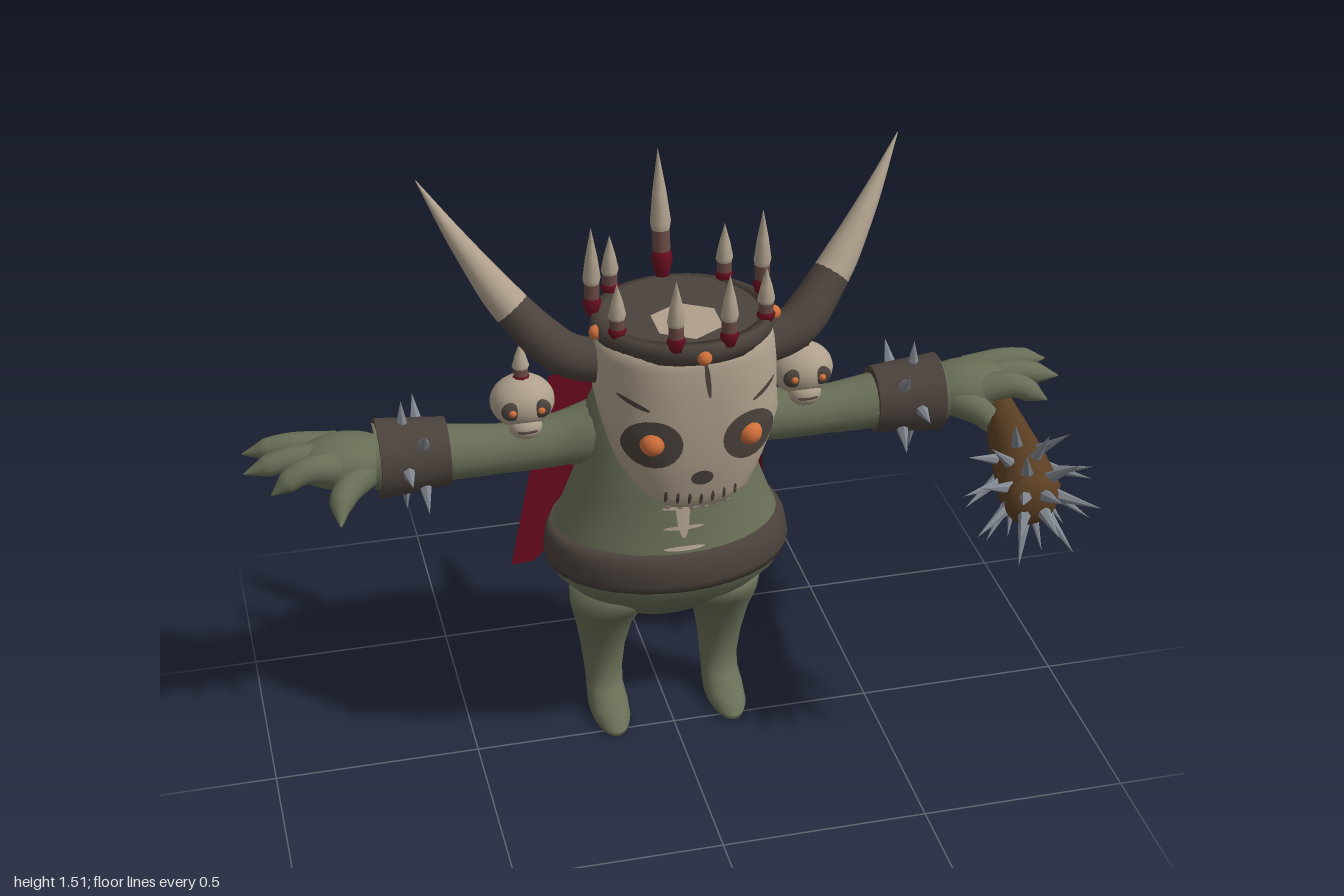
import * as THREE from 'three';
import { mergeVertices } from 'three/addons/utils/BufferGeometryUtils.js';

const mat = (name, color, side = THREE.FrontSide) => {
  const m = new THREE.MeshStandardMaterial({ color, side });
  m.name = name;
  return m;
};
const V = (x, y, z) => new THREE.Vector3(x, y, z);

// Cross-section rows, bottom to top: [y, centre x, centre z, half width, half depth]
const row = (y, zFront, zBack, rx, x = 0) => [y, x, (zFront + zBack) / 2, rx, (zFront - zBack) / 2];
const BODY = [
  row(0.31, -0.03, -0.17, 0.12), row(0.345, 0.0, -0.2, 0.19), row(0.4, 0.07, -0.25, 0.236),
  row(0.45, 0.115, -0.285, 0.28), row(0.5, 0.128, -0.3, 0.295), row(0.55, 0.122, -0.303, 0.287),
  row(0.6, 0.1, -0.29, 0.262), row(0.7, 0.08, -0.262, 0.225), row(0.8, 0.06, -0.243, 0.203),
  row(0.88, 0.03, -0.235, 0.19), row(0.95, 0.0, -0.215, 0.155), row(1.0, -0.01, -0.175, 0.125), row(1.04, -0.02, -0.12, 0.09),
];
const HEAD = [
  row(0.795, 0.25, 0.17, 0.08), row(0.83, 0.262, 0.13, 0.13), row(0.885, 0.27, 0.01, 0.17),
  row(0.93, 0.277, 0.0, 0.186), row(1.0, 0.28, -0.01, 0.205), row(1.035, 0.281, -0.085, 0.208),
  row(1.1, 0.281, -0.124, 0.21), row(1.16, 0.277, -0.118, 0.204), row(1.2, 0.268, -0.1, 0.19),
];
const LEG = [
  row(0, 0.03, -0.19, 0.045, 0.15), row(0.015, 0.033, -0.192, 0.049, 0.15), row(0.035, -0.01, -0.194, 0.049, 0.15),
  row(0.06, -0.075, -0.194, 0.046, 0.15), row(0.1, -0.097, -0.194, 0.048, 0.15), row(0.17, -0.09, -0.192, 0.056, 0.151),
  row(0.25, -0.062, -0.192, 0.07, 0.15), row(0.32, -0.02, -0.2, 0.094, 0.143), row(0.4, 0.04, -0.23, 0.112, 0.128),
];
const HEAD_N = 2.5;

function rowAt(rows, y) {
  let i = 0;
  while (i < rows.length - 2 && rows[i + 1][0] < y) i++;
  const t = THREE.MathUtils.clamp((y - rows[i][0]) / (rows[i + 1][0] - rows[i][0]), 0, 1);
  return rows[i].map((v, k) => v + (rows[i + 1][k] - v) * t);
}
const frontZ = (rows, x, y, n) => {
  const r = rowAt(rows, y);
  return r[2] + r[4] * Math.pow(1 - Math.min(1, Math.abs((x - r[1]) / r[3])) ** n, 1 / n);
};

// Capped loft through superellipse sections
function loft(rows, n = 2, s = 1, sides = 32) {
  const pos = [], idx = [], p = (v) => Math.sign(v) * Math.abs(v) ** (2 / n);
  rows.forEach(([y, x, z, rx, rz], j) => {
    for (let i = 0; i < sides; i++) {
      const a = (i / sides) * Math.PI * 2, k = (i + 1) % sides;
      pos.push(s * x + rx * p(Math.cos(a)), y, z + rz * p(Math.sin(a)));
      if (j < rows.length - 1) {
        const A = j * sides + i, B = j * sides + k;
        idx.push(A, A + sides, B, B, A + sides, B + sides);
      }
    }
  });
  const c = pos.length / 3, top = (rows.length - 1) * sides;
  for (const r of [rows[0], rows[rows.length - 1]]) pos.push(s * r[1], r[0], r[2]);
  for (let i = 0; i < sides; i++) {
    const k = (i + 1) % sides;
    idx.push(c, i, k, c + 1, top + k, top + i);
  }
  const g = new THREE.BufferGeometry();
  g.setAttribute('position', new THREE.Float32BufferAttribute(pos, 3));
  g.setIndex(idx);
  g.computeVertexNormals();
  return g;
}

// Tube along a curve whose radius follows the list of radii; from/to keep only a stretch
function taper(points, radii, from = 0, to = 1, seg = 20, sides = 14) {
  const full = new THREE.CatmullRomCurve3(points);
  const part = new THREE.CatmullRomCurve3(
    Array.from({ length: seg + 1 }, (_, i) => full.getPointAt(from + (to - from) * (i / seg))));
  let g = new THREE.TubeGeometry(part, seg, 1, sides);
  const pos = g.attributes.position, v = V(0, 0, 0);
  for (let i = 0; i <= seg; i++) {
    const c = part.getPointAt(i / seg), f = (from + (to - from) * (i / seg)) * (radii.length - 1);
    const k = Math.min(Math.floor(f), radii.length - 2);
    const r = THREE.MathUtils.lerp(radii[k], radii[k + 1], f - k);
    for (let j = 0; j <= sides; j++) {
      const q = i * (sides + 1) + j;
      v.fromBufferAttribute(pos, q).sub(c).multiplyScalar(r).add(c);
      pos.setXYZ(q, v.x, v.y, v.z);
    }
  }
  g.deleteAttribute('uv');
  g.deleteAttribute('normal');
  g = mergeVertices(g, 1e-5);
  g.computeVertexNormals();
  return g;
}

// Thin oval plate that follows the front of a lofted part
function patch(rows, n, cx, cy, rx, ry, turn = 0, off = 0.005) {
  const g = new THREE.RingGeometry(0.001, 1, 24, 4);
  g.scale(rx, ry, 1).rotateZ(turn).translate(cx, cy, 0);
  const p = g.attributes.position;
  for (let i = 0; i < p.count; i++) p.setZ(i, frontZ(rows, p.getX(i), p.getY(i), n) + off);
  g.computeVertexNormals();
  return g;
}

export function createModel() {
  const M = {
    skin: mat('green skin', 0x686e56), bone: mat('bone', 0xafa08c), leather: mat('dark leather', 0x4b423c),
    cape: mat('crimson cloth', 0x760c22, THREE.DoubleSide), wood: mat('wood', 0x5b3f23), steel: mat('steel', 0x80868f),
    orange: mat('orange', 0xcf6f3c), mauve: mat('bone root', 0x6a4a44), maroon: mat('maroon', 0x6c0f20),
  };
  const model = new THREE.Group();
  const add = (name, g, m, parent = model) => {
    const mesh = new THREE.Mesh(g, m);
    mesh.name = name;
    parent.add(mesh);
    return mesh;
  };
  const ball = (x, y, z, rx, ry = rx, rz = rx) => new THREE.SphereGeometry(1, 24, 16).scale(rx, ry, rz).translate(x, y, z);
  const spike = (name, base, dir, len, r) => {
    const g = new THREE.ConeGeometry(r, len, 6).translate(0, len / 2, 0).toNonIndexed();
    g.computeVertexNormals();
    const m = add(name, g, M.steel);
    m.position.copy(base);
    m.quaternion.setFromUnitVectors(V(0, 1, 0), dir.clone().normalize());
  };
  // Bone point with a maroon foot and a mauve root
  const bonePoint = (name, x, y, z, h, r, lean = 0) => {
    const grp = new THREE.Group();
    grp.name = name;
    const part = (n, pts, m) => add(n, new THREE.LatheGeometry(pts.map(([a, b]) => new THREE.Vector2(a * r, b * h)), 8), m, grp);
    part('pointFoot', [[0, 0], [0.6, 0.02], [1.05, 0.16], [0.85, 0.22]], M.maroon);
    part('pointRoot', [[0.85, 0.2], [0.85, 0.38]], M.mauve);
    part('pointTip', [[0.85, 0.38], [1, 0.44], [0.65, 0.68], [0, 1]], M.bone);
    grp.position.set(x, y, z);
    grp.rotation.x = lean;
    model.add(grp);
  };

  // Torso, belt and chest stitches
  add('torso', loft(BODY), M.skin);
  add('belt', loft([0.478, 0.5, 0.53, 0.55, 0.575].map((y) => {
    const r = rowAt(BODY, y);
    return [y, r[1], r[2], r[3] + 0.008, r[4] + 0.008];
  })), M.leather);
  add('chestSeam', patch(BODY, 2, 0, 0.7, 0.017, 0.085, 0, 0.008), M.bone);
  for (let i = 0; i < 4; i++) add('chestStitch', patch(BODY, 2, 0, 0.59 + i * 0.05, 0.05, 0.005, 0, 0.007), M.bone);

  // Skull
  add('skull', loft(HEAD, HEAD_N, 1, 48), M.bone);
  add('skullUnderside', ball(0, 0.99, -0.015, 0.185, 0.05, 0.09), M.leather);
  add('nose', patch(HEAD, HEAD_N, 0, 0.885, 0.026, 0.02), M.leather);
  add('foreheadCrack', patch(HEAD, HEAD_N, 0.01, 1.14, 0.006, 0.045, 0.1), M.leather);
  for (let i = -3; i <= 3; i++) {
    add('toothGap', patch(HEAD, HEAD_N, i * 0.027, 0.822 + Math.abs(i) * 0.004, 0.004, 0.017), M.leather);
    if (i < 3) add('tooth', ball((i + 0.5) * 0.027, 0.797, 0.24 - Math.abs(i + 0.5) * 0.008, 0.011, 0.018, 0.012), M.bone);
  }

  // Crown
  const ring = [[0.178, -0.022], [0.2, -0.026], [0.209, 0], [0.204, 0.022], [0.18, 0.022], [0.178, -0.022]];
  const crown = add('crownBand', new THREE.LatheGeometry(ring.map(([r, y]) => new THREE.Vector2(r, y)), 40), M.leather);
  crown.position.set(0, 1.193, 0.083);
  crown.rotation.x = -0.07;
  add('scalp', new THREE.CylinderGeometry(0.186, 0.186, 0.006, 40).translate(0, 1.202, 0.083), M.leather);
  add('scalpPatch', new THREE.CircleGeometry(1, 6).rotateZ(Math.PI / 2).scale(0.085, 0.088, 1).rotateX(-Math.PI / 2).translate(0, 1.208, 0.125), M.bone);
  bonePoint('crownPointBack', 0, 1.195, -0.112, 0.315, 0.025, -0.15);
  add('crownGem', ball(0, 1.2, 0.288, 0.017), M.orange);

  for (const s of [1, -1]) {
    // Face
    add('eyeSocket', patch(HEAD, HEAD_N, s * 0.112, 0.98, 0.066, 0.062), M.leather);
    add('eye', ball(s * 0.112, 0.982, frontZ(HEAD, 0.112, 0.98, HEAD_N) - 0.004, 0.029), M.orange);
    add('browCrack', patch(HEAD, HEAD_N, s * 0.15, 1.08, 0.035, 0.006, s * 0.4), M.leather);
    for (const [x, z, top] of [[0.06, 0.272, 1.39], [0.17, 0.172, 1.345], [0.198, 0.035, 1.42], [0.135, -0.065, 1.345]]) {
      const y = 1.2 + 0.07 * (z - 0.083);
      bonePoint('crownPoint', s * x, y, z, top - y, 0.021);
    }
    add('crownGem', ball(s * 0.205, 1.197, 0.11, 0.017), M.orange);

    // Horns
    const horn = [V(s * 0.17, 1.1, 0.08), V(s * 0.27, 1.125, 0.06), V(s * 0.37, 1.215, 0), V(s * 0.47, 1.355, -0.06), V(s * 0.56, 1.5, -0.125)];
    const hornR = [0.052, 0.052, 0.041, 0.022, 0.001];
    add('hornRoot', taper(horn, hornR, 0, 0.42), M.leather);
    add('hornTip', taper(horn, hornR, 0.42, 1), M.bone);

    // Legs and feet
    add('leg', loft(LEG, 2, s), M.skin);

    // Arms and hands
    add('arm', taper([V(s * 0.1, 0.82, -0.11), V(s * 0.25, 0.8, -0.11), V(s * 0.4, 0.793, -0.11), V(s * 0.55, 0.8, -0.115), V(s * 0.7, 0.81, -0.115)],
      [0.09, 0.065, 0.06, 0.07, 0.08]), M.skin);
    add('palm', ball(s * 0.765, 0.81, -0.115, 0.12, 0.062, 0.085), M.skin);
    for (const [z0, x1, z1, y1] of [[-0.165, 0.995, -0.188, 0.815], [-0.12, 1, -0.105, 0.81], [-0.075, 0.945, -0.03, 0.79]])
      add('finger', taper([V(s * 0.78, 0.815, z0), V(s * (0.78 + x1) / 2, 0.83, (z0 + z1) / 2), V(s * x1, y1, z1)], [0.042, 0.036, 0.031, 0.026, 0.002]), M.skin);
    add('thumb', taper([V(s * 0.72, 0.8, -0.08), V(s * 0.785, 0.775, 0), V(s * 0.8, 0.74, 0.065)], [0.045, 0.036, 0.029, 0.002]), M.skin);

    // Spiked cuffs
    add('cuff', new THREE.CylinderGeometry(0.098, 0.083, 0.165, 28).scale(1, 1, 0.92).rotateZ(-s * Math.PI / 2).translate(s * 0.605, 0.802, -0.115), M.leather);
    for (let i = 0; i < 8; i++) {
      const a = (i / 8) * Math.PI * 2, d = V(0, Math.cos(a), Math.sin(a));
      spike('cuffSpike', V(s * (i % 2 ? 0.585 : 0.625), 0.802, -0.115).addScaledVector(d, 0.08), d, 0.068, 0.016);
    }

    // Small shoulder skulls
    const x = s * 0.34;
    add('shoulderSkull', ball(x, 0.918, -0.11, 0.077, 0.064, 0.068), M.bone);
    add('shoulderSkullJaw', ball(x, 0.868, -0.075, 0.04, 0.032, 0.034), M.bone);
    for (const e of [-0.034, 0.034]) {
      add('shoulderSkullSocket', ball(x + e, 0.92, -0.056, 0.025, 0.024, 0.012), M.leather);
      add('shoulderSkullEye', ball(x + e, 0.92, -0.046, 0.009), M.orange);
    }
    add('shoulderSkullMouth', ball(x, 0.867, -0.045, 0.025, 0.004, 0.006), M.leather);
    bonePoint('shoulderPoint', x, 0.96, -0.112, 0.105, 0.021, -0.1);
  }

  // Club with a spiked head
  const butt = V(0.872, 0.752, -0.265), tip = V(0.757, 0.778, 0.395), axis = tip.clone().sub(butt).normalize();
  add('club', taper([butt, butt.clone().lerp(tip, 0.33), butt.clone().lerp(tip, 0.66), tip],
    [0.004, 0.028, 0.031, 0.036, 0.041, 0.046, 0.052, 0.057, 0.062, 0.067, 0.07, 0.072, 0.04], 0, 1, 36), M.wood);
  add('clubEnd', ball(tip.x, tip.y, tip.z - 0.02, 0.065, 0.065, 0.035), M.wood);
  const u = V(0, 1, 0).cross(axis).normalize(), w = axis.clone().cross(u);
  [[0.74, 7, 0.65], [0.84, 7, 0.6], [0.94, 7, 0.75], [1, 4, 2.5]].forEach(([t, n, forward], k) => {
    for (let i = 0; i < n; i++) {
      const a = ((i + k * 0.5) / n) * Math.PI * 2;
      const out = u.clone().multiplyScalar(Math.cos(a)).addScaledVector(w, Math.sin(a));
      const base = butt.clone().lerp(tip, t).addScaledVector(out, k === 3 ? 0.03 : 0.05);
      spike('clubSpike', base, out.addScaledVector(axis, forward), k === 3 ? 0.09 : 0.125, 0.017);
    }
  });

  // Cape with a ragged hem: [x, y] along the bottom
  const hem = [[-0.335, 0.27], [-0.27, 0.25], [-0.2, 0.32], [-0.09, 0.24], [0, 0.28], [0.08, 0.38], [0.2, 0.4], [0.27, 0.3], [0.335, 0.28]];
  const cape = new THREE.PlaneGeometry(1, 1, 32, 16), cp = cape.attributes.position;
  for (let i = 0; i < cp.count; i++) {
    const q = cp.getX(i) * 2, d = 0.5 - cp.getY(i), f = (q + 1) * 4, k = Math.min(7, Math.floor(f));
    const hx = THREE.MathUtils.lerp(hem[k][0], hem[k + 1][0], f - k), hy = THREE.MathUtils.lerp(hem[k][1], hem[k + 1][1], f - k);
    const y = THREE.MathUtils.lerp(0.92, hy, d), drop = (0.92 - y) / 0.68;
    cp.setXYZ(i, THREE.MathUtils.lerp(q * 0.26, hx, d), y, -0.27 + 0.07 * q * q - 0.2 * drop);
  }
  cape.computeVertexNormals();
  add('cape', cape, M.cape);

  return model;
}
